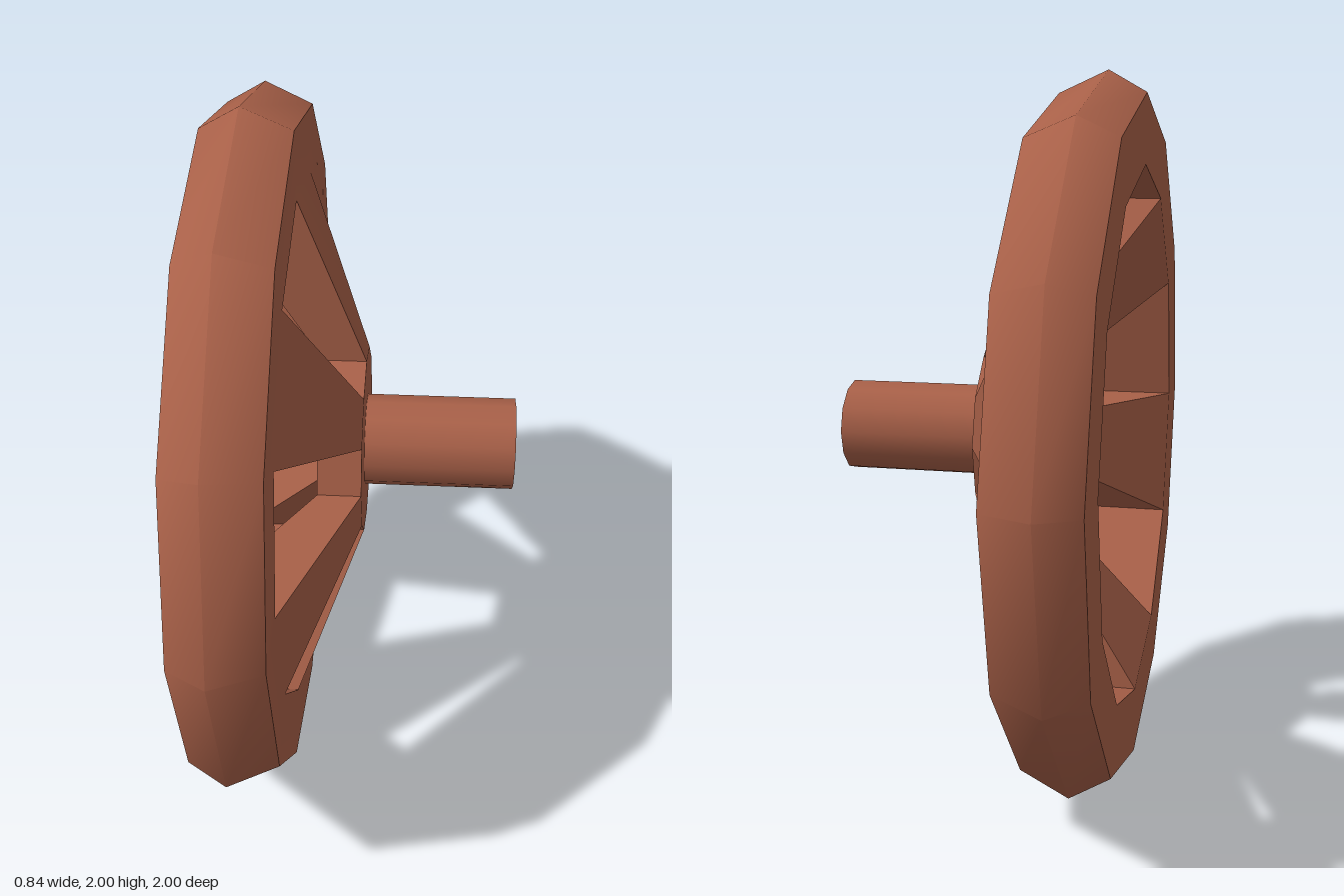
import * as THREE from 'three';
import { toCreasedNormals } from 'three/addons/utils/BufferGeometryUtils.js';

const SIDES = 12;
const RIM_IN = 0.75, RIM_EDGE = 0.94, HUB = 0.265, SHAFT = 0.13;
const BACK = -0.42, FRONT = -0.18, HUB_BACK = -0.12;

// Point at axial position x and radius r, turned about the x axis
const at = ([x, r], i) => {
  const a = ((i % SIDES) / SIDES) * Math.PI * 2;
  return [x, r * Math.sin(a), r * Math.cos(a)];
};

const isSpoke = (i) => i % 2 === 1;
const isHole = (i) => !isSpoke(i);
const all = () => true;

function addQuad(out, a, b, c, d) {
  out.push(...a, ...b, ...c, ...a, ...c, ...d);
}

// Sweep a profile around the axle over the chosen sectors
function addBands(out, profile, use) {
  for (let i = 0; i < SIDES; i++) {
    if (!use(i)) continue;
    for (let k = 0; k < profile.length - 1; k++) {
      const p = profile[k], q = profile[k + 1];
      if (p[1] === 0) out.push(...at(p, i), ...at(q, i), ...at(q, i + 1));
      else addQuad(out, at(p, i), at(q, i), at(q, i + 1), at(p, i + 1));
    }
  }
}

function toGeometry(positions, creaseDegrees) {
  const g = new THREE.BufferGeometry();
  g.setAttribute('position', new THREE.Float32BufferAttribute(positions, 3));
  g.computeVertexNormals();
  return toCreasedNormals(g, THREE.MathUtils.degToRad(creaseDegrees));
}

export function createModel() {
  const group = new THREE.Group();
  const wheel = new THREE.Group();
  wheel.name = 'wheel';
  wheel.position.y = 1;
  group.add(wheel);

  const brown = new THREE.MeshStandardMaterial({ color: 0xa86048 });
  brown.name = 'reddish brown';

  const add = (name, geometry) => {
    const mesh = new THREE.Mesh(geometry, brown);
    mesh.name = name;
    wheel.add(mesh);
    return mesh;
  };

  // Rounded rim, coned spoke fronts and hub front share smooth shading
  const face = [];
  addBands(face, [[BACK, RIM_IN], [BACK, RIM_EDGE], [-0.315, 1], [FRONT, RIM_EDGE], [FRONT, RIM_IN]], all);
  addBands(face, [[FRONT, RIM_IN], [0, HUB]], isSpoke);
  addBands(face, [[0, HUB], [0, SHAFT]], all);
  add('rimAndSpokeFronts', toGeometry(face, 58));

  // Hub back disc and spoke backs
  const back = [];
  addBands(back, [[HUB_BACK, 0], [HUB_BACK, HUB]], all);
  addBands(back, [[HUB, HUB].map((v, k) => (k ? v : HUB_BACK)), [BACK, RIM_IN]], isSpoke);
  add('hubAndSpokeBacks', toGeometry(back, 15));

  // Walls of the openings between the spokes
  const walls = [];
  addBands(walls, [[HUB_BACK, HUB], [0, HUB]], isHole);
  addBands(walls, [[FRONT, RIM_IN], [BACK, RIM_IN]], isHole);
  const section = [[BACK, RIM_IN], [FRONT, RIM_IN], [0, HUB], [HUB_BACK, HUB]];
  for (let i = 1; i < SIDES; i += 2) {
    addQuad(walls, ...section.map((p) => at(p, i + 1)));
    addQuad(walls, ...section.map((p) => at(p, i)).reverse());
  }
  add('openingWalls', toGeometry(walls, 15));

  // Axle shaft
  const shaft = new THREE.CylinderGeometry(SHAFT, SHAFT, 0.42, SIDES);
  shaft.rotateZ(-Math.PI / 2);
  add('axleShaft', shaft).position.x = 0.21;

  return group;
}
